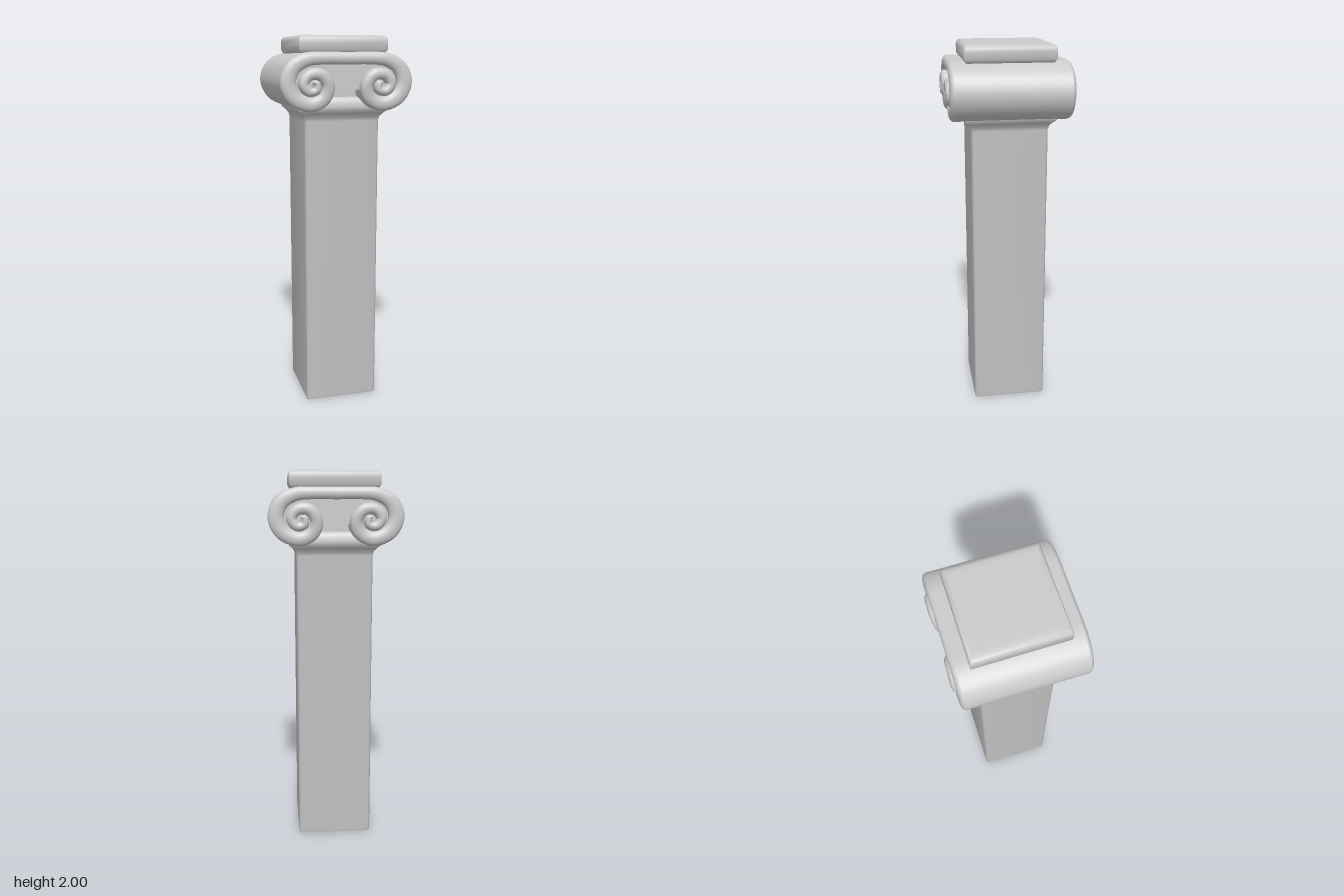
import * as THREE from 'three';
import { toCreasedNormals } from 'three/addons/utils/BufferGeometryUtils.js';

const material = new THREE.MeshStandardMaterial({ color: 0xcccccc, side: THREE.DoubleSide });

// Indexed geometry from equally sized closed loops of points
function loft(rings, flip) {
  const n = rings[0].length, index = [];
  for (let i = 0; i < rings.length - 1; i++) {
    for (let j = 0; j < n; j++) {
      const a = i * n + j, b = i * n + (j + 1) % n, c = a + n, d = b + n;
      if (flip) index.push(a, c, b, b, c, d);
      else index.push(a, b, c, b, d, c);
    }
  }
  const g = new THREE.BufferGeometry();
  g.setAttribute('position', new THREE.Float32BufferAttribute(rings.flat(2), 3));
  g.setIndex(index);
  g.computeVertexNormals();
  return g;
}

// Stack of squares with softened corners; profile holds [half width, y]
function squareLoft(profile, radius) {
  const rings = profile.map(([half, y]) => {
    const r = Math.min(radius, half * 0.5), ring = [];
    for (let c = 0; c < 4; c++) {
      const mid = Math.PI / 4 + c * Math.PI / 2;
      for (let k = 0; k < 4; k++) {
        const a = c * Math.PI / 2 + k * Math.PI / 6;
        ring.push([
          Math.sign(Math.cos(mid)) * (half - r) + r * Math.cos(a), y,
          Math.sign(Math.sin(mid)) * (half - r) + r * Math.sin(a)]);
      }
    }
    return ring;
  });
  return toCreasedNormals(loft(rings, true), 0.95);
}

// Scroll band: a rounded slab that follows the path and curls in at both ends
function scrollBand() {
  // x, y, half thickness, from the middle out to one eye
  const half = [
    [0, 1.885, 0.031], [0.11, 1.886, 0.031], [0.21, 1.878, 0.034], [0.28, 1.837, 0.039],
    [0.305, 1.765, 0.041], [0.27, 1.69, 0.039], [0.185, 1.657, 0.036], [0.118, 1.69, 0.034],
    [0.101, 1.755, 0.032], [0.14, 1.805, 0.03], [0.2, 1.803, 0.028], [0.228, 1.76, 0.026],
    [0.2, 1.722, 0.024], [0.163, 1.73, 0.021], [0.163, 1.762, 0.018], [0.183, 1.766, 0.002],
  ].map(p => new THREE.Vector3(...p));
  const other = half.slice(1).reverse().map(p => new THREE.Vector3(-p.x, p.y, p.z));
  const curve = new THREE.CatmullRomCurve3([...other, ...half]);
  const steps = 220, rings = [];
  for (let i = 0; i <= steps; i++) {
    const u = i / steps, p = curve.getPoint(u), t = curve.getTangent(u);
    const len = Math.hypot(t.x, t.y), nx = -t.y / len, ny = t.x / len;
    // the inner curl stands a little proud of the outer band
    const reach = 0.315 + 0.015 * THREE.MathUtils.smoothstep(Math.abs(2 * u - 1), 0.42, 0.6);
    const bevel = 0.024, ring = [];
    for (const side of [1, -1]) {
      for (let k = 0; k <= 10; k++) {
        const a = k / 10 * Math.PI + (side < 0 ? Math.PI : 0);
        const w = p.z * Math.cos(a);
        ring.push([p.x + nx * w, p.y + ny * w, side * (reach - bevel) + bevel * Math.sin(a)]);
      }
    }
    rings.push(ring);
  }
  return loft(rings, false);
}

// Recessed body that fills the scroll behind its front edge
function scrollCore() {
  const s = new THREE.Shape();
  s.moveTo(-0.2, 1.885);
  s.lineTo(0.2, 1.885);
  s.bezierCurveTo(0.34, 1.87, 0.34, 1.67, 0.19, 1.66);
  s.bezierCurveTo(0.14, 1.66, 0.11, 1.69, 0.1, 1.735);
  s.quadraticCurveTo(0, 1.72, -0.1, 1.735);
  s.bezierCurveTo(-0.11, 1.69, -0.14, 1.66, -0.19, 1.66);
  s.bezierCurveTo(-0.34, 1.67, -0.34, 1.87, -0.2, 1.885);
  const g = new THREE.ExtrudeGeometry(s, { depth: 0.56, bevelEnabled: false, curveSegments: 16 });
  g.translate(0, 0, -0.28);
  return toCreasedNormals(g, 0.7);
}

export function createModel() {
  const group = new THREE.Group();
  const add = (name, geometry) => {
    const mesh = new THREE.Mesh(geometry, material);
    mesh.name = name;
    group.add(mesh);
  };

  // Hollow shaft, open below, flaring into the neck
  add('shaft', squareLoft([
    [0.197, 0], [0.2, 0.012], [0.2, 1.565], [0.205, 1.585], [0.22, 1.605],
    [0.238, 1.62], [0.24, 1.64], [0.237, 1.675], [0.22, 1.688], [0.2, 1.69], [0.2, 1.8],
  ], 0.012));

  add('scrollBand', scrollBand());
  add('scrollCore', scrollCore());

  // Square cushion slab on top
  add('topSlab', squareLoft([
    [0.001, 1.9], [0.212, 1.902], [0.225, 1.912], [0.234, 1.928], [0.235, 1.965],
    [0.233, 1.982], [0.226, 1.994], [0.212, 1.999], [0.19, 2], [0.001, 2],
  ], 0.005));

  return group;
}
